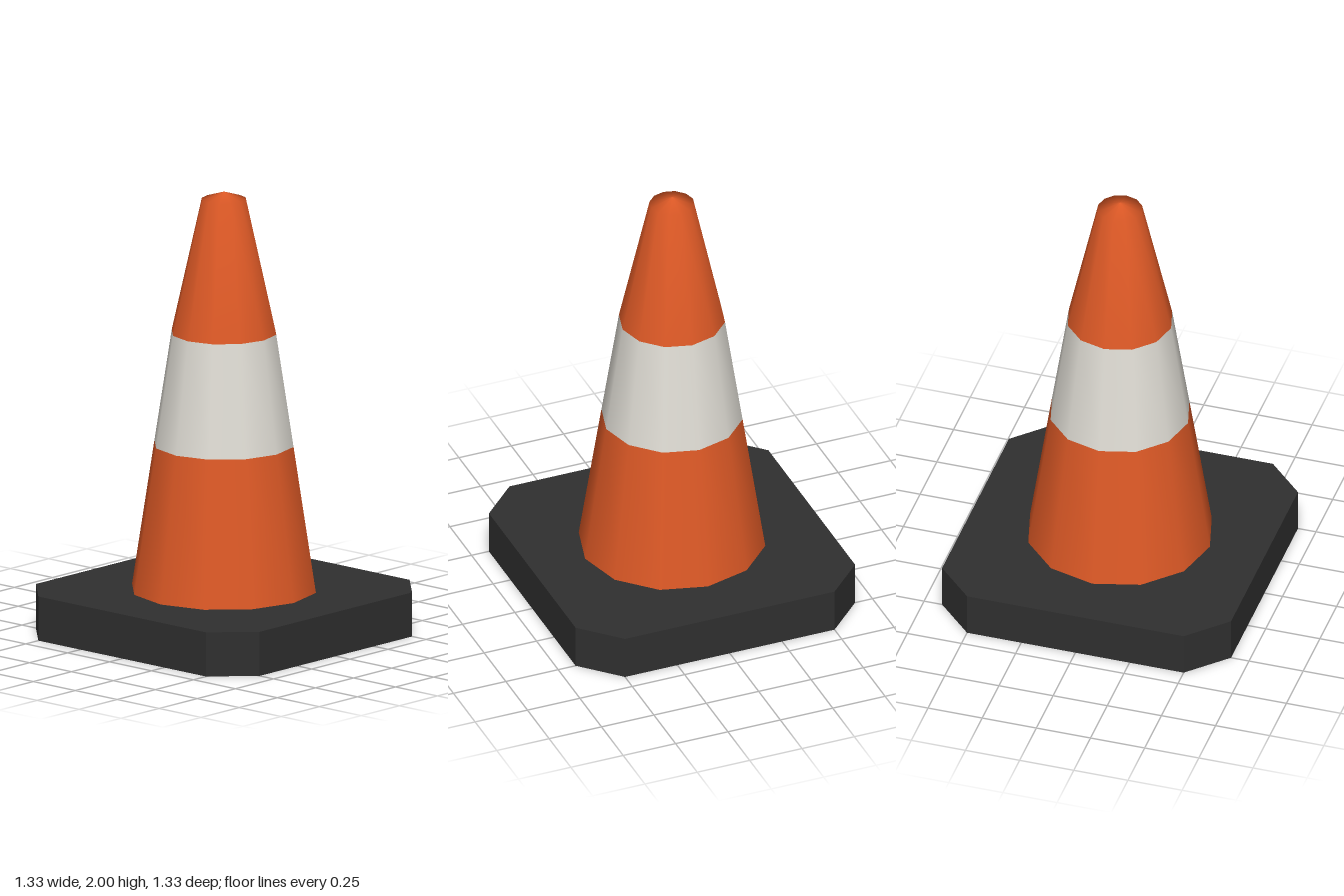
import * as THREE from 'three';

const orange = new THREE.MeshStandardMaterial({ color: 0xdd5926 });
orange.name = 'orange plastic';
const white = new THREE.MeshStandardMaterial({ color: 0xdfdcd4 });
white.name = 'off-white band';
const rubber = new THREE.MeshStandardMaterial({ color: 0x2f2f2f, side: THREE.DoubleSide });
rubber.name = 'black rubber';

const BASE_HEIGHT = 0.2;

export function createModel() {
  const model = new THREE.Group();
  model.name = 'trafficCone';

  const add = (parent, name, geometry, material) => {
    const mesh = new THREE.Mesh(geometry, material);
    mesh.name = name;
    parent.add(mesh);
    return mesh;
  };

  // Twelve-sided cone, one smooth section per colour: [radius, height]
  const section = (name, profile, material) =>
    add(model, name, new THREE.LatheGeometry(profile.map(([r, y]) => new THREE.Vector2(r, y)), 12), material);
  section('lowerCone', [[0.415, BASE_HEIGHT], [0.314, 0.857]], orange);
  section('reflectiveBand', [[0.314, 0.857], [0.236, 1.362]], white);
  section('upperCone', [[0.236, 1.362], [0.1, 1.967], [0, 2]], orange);

  // Square base with cut corners: a hollow shell, open underneath
  const base = new THREE.Group();
  base.name = 'base';
  model.add(base);
  const h = 0.667, c = 0.5;
  const outline = [[h, -c], [h, c], [c, h], [-c, h], [-h, c], [-h, -c], [-c, -h], [c, -h]]
    .map(([x, y]) => new THREE.Vector2(x, y));

  const top = new THREE.ShapeGeometry(new THREE.Shape(outline));
  top.rotateX(-Math.PI / 2).translate(0, BASE_HEIGHT, 0);
  add(base, 'baseTop', top, rubber);

  // One flat wall along each edge of the outline
  outline.forEach((a, i) => {
    const b = outline[(i + 1) % outline.length];
    const wall = add(base, 'baseWall', new THREE.PlaneGeometry(a.distanceTo(b), BASE_HEIGHT), rubber);
    const x = (a.x + b.x) / 2, z = -(a.y + b.y) / 2;
    wall.position.set(x, BASE_HEIGHT / 2, z);
    wall.rotation.y = Math.atan2(x, z);
  });

  return model;
}
